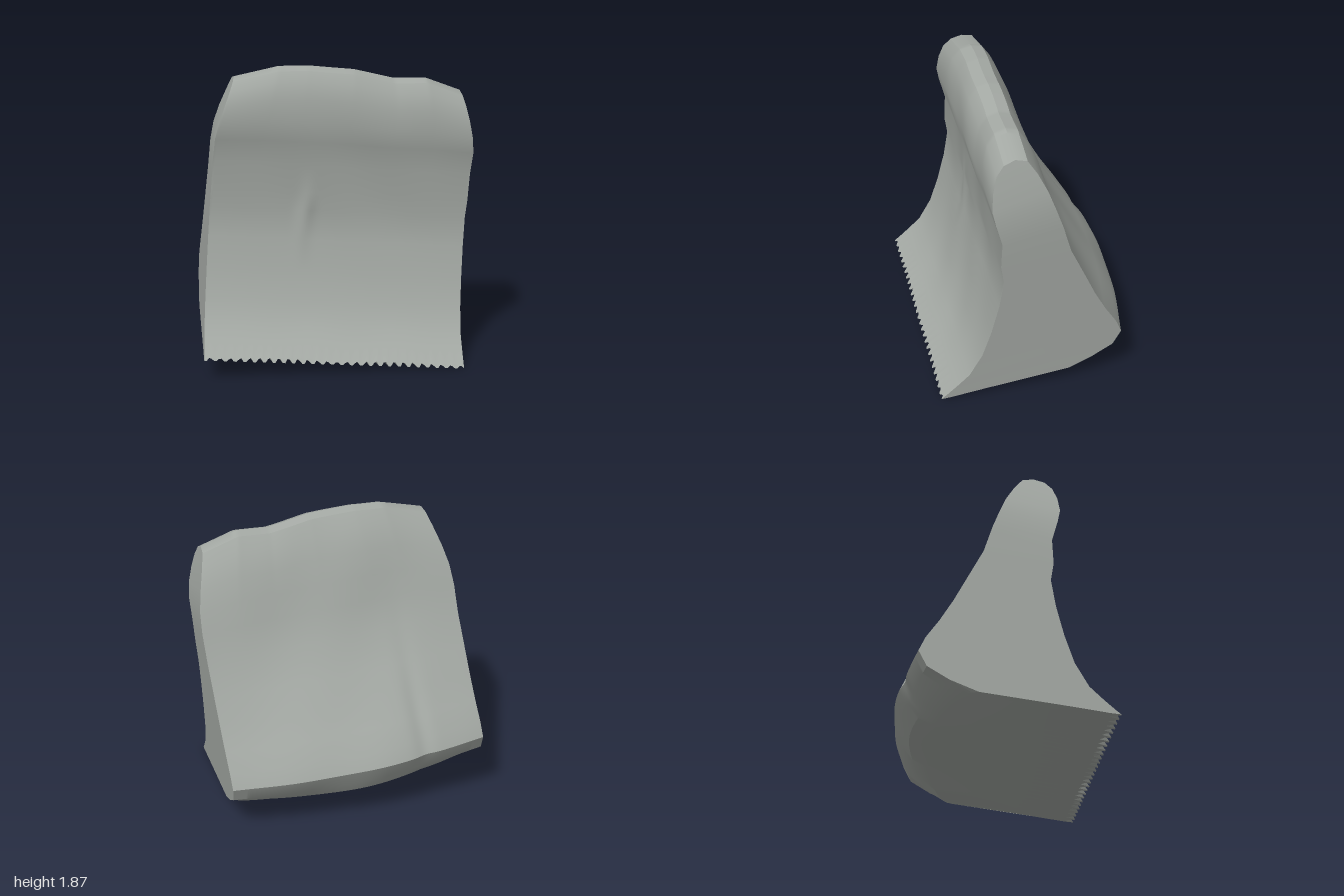
import * as THREE from 'three';
import { toCreasedNormals } from 'three/addons/utils/BufferGeometryUtils.js';

// Slab frame: along its length, up and to its front
const ORIGIN = new THREE.Vector3(-0.08, 0.13, 0.99);
const ALONG = new THREE.Vector3(0.637, -0.08, -0.766).normalize();
const FRONT = new THREE.Vector3(0.769, 0, 0.639).normalize();
const UP = new THREE.Vector3().crossVectors(FRONT, ALONG);
const LENGTH = 1.63, STEPS = 108;

// Cross-section: [distance back, height], front foot up, over the top, down the back
const PROFILE = [
  [0, 0], [0.03, 0.025], [0.1, 0.09], [0.18, 0.17], [0.26, 0.32], [0.315, 0.5], [0.36, 0.7], [0.385, 0.88],
  [0.365, 1.0], [0.37, 1.17], [0.33, 1.32], [0.31, 1.43], [0.32, 1.56], [0.345, 1.66],
  [0.39, 1.72], [0.46, 1.745], [0.53, 1.73], [0.585, 1.65], [0.645, 1.52], [0.69, 1.38],
  [0.735, 1.24], [0.79, 1.06], [0.89, 0.86], [0.97, 0.7], [1.05, 0.56], [1.13, 0.44],
  [1.17, 0.35], [1.12, 0.25], [0.99, 0.17], [0.82, 0.1], [0.4, 0.05], [0.06, 0.005],
];
const BACK_START = 17, BOTTOM_START = 29;

// Height of the ridge along the length
const RIDGE = [[0, 1.69], [0.19, 1.77], [0.32, 1.785], [0.52, 1.78], [0.7, 1.74], [0.84, 1.755], [1, 1.69]];
function ridge(t) {
  let k = 0;
  while (k < RIDGE.length - 2 && t > RIDGE[k + 1][0]) k++;
  const [a, ha] = RIDGE[k], [b, hb] = RIDGE[k + 1];
  return THREE.MathUtils.mapLinear(t, a, b, ha, hb);
}
const bump = (x, y, rx, ry) => Math.exp(-((x / rx) ** 2) - (y / ry) ** 2);

function slabPoint(t, i, j) {
  let [b, h] = PROFILE[j];
  // Rounded upper corners at both ends
  const inset = 0.1 * Math.pow(Math.max(0, (h - 1.28) / 0.46), 1.5);
  const s = THREE.MathUtils.lerp(inset, LENGTH - inset, t);
  const arch = Math.sin(Math.PI * t);
  if (j >= BACK_START && j < BOTTOM_START) {
    // Back swollen near its foot, with a shallow groove
    const low = 1 - THREE.MathUtils.smoothstep(h, 0.35, 1.2);
    b += (0.1 * arch - 0.02 * t) * low;
    b += 0.005 * arch * Math.sin(9 * s + 6 * h) - 0.018 * bump(s - 0.4, h - 0.55, 0.06, 0.35);
    if (j === BOTTOM_START - 1) b += 0.08 * arch;
  } else if (j === BOTTOM_START) {
    b += 0.22 * Math.pow(Math.max(0, arch), 0.5);
    h += 0.03 * arch;
  } else if (j > 2 && j < BACK_START) {
    // Uneven front with a small knob
    b += 0.004 * Math.sin(11 * s + 9 * h) * arch - 0.025 * bump(s - 0.6, h - 0.87, 0.05, 0.06);
  }
  // Serrated front foot
  if (j === 0 && i % 4 > 1) {
    const notch = 0.016 + 0.006 * Math.sin(i * 1.7);
    b += notch;
    h += notch;
  }
  h += (ridge(t) - 1.745) * THREE.MathUtils.smoothstep(h, 1.2, 1.7);
  return ORIGIN.clone().addScaledVector(ALONG, s).addScaledVector(FRONT, -b).addScaledVector(UP, h);
}

function slabGeometry() {
  const n = PROFILE.length, pos = [], index = [];
  for (let i = 0; i <= STEPS; i++) {
    for (let j = 0; j < n; j++) {
      pos.push(...slabPoint(i / STEPS, i, j).toArray());
      if (i < STEPS) {
        const a = i * n + j, d = i * n + ((j + 1) % n);
        index.push(a, a + n, d + n, a, d + n, d);
      }
    }
  }
  // End faces: level strips from front to back, then the slivers under the foot
  for (const end of [0, STEPS]) {
    const tri = (a, b, c) => {
      const o = end * n;
      if (end) index.push(o + a, o + b, o + c);
      else index.push(o + a, o + c, o + b);
    };
    for (let f = 0; f < 14; f++) {
      const k = BOTTOM_START - f;
      tri(f, k, k - 1);
      tri(f, k - 1, f + 1);
    }
    for (let k = BOTTOM_START; k < n - 1; k++) tri(0, k + 1, k);
  }
  const geo = new THREE.BufferGeometry();
  geo.setAttribute('position', new THREE.Float32BufferAttribute(pos, 3));
  geo.setIndex(index);
  return toCreasedNormals(geo, 0.5);
}

export function createModel() {
  const stone = new THREE.MeshStandardMaterial({ color: 0xa3a8a3 });
  stone.name = 'stone grey';
  const group = new THREE.Group();
  group.name = 'stoneFragment';
  const slab = new THREE.Mesh(slabGeometry(), stone);
  slab.name = 'curvedSlab';
  group.add(slab);
  return group;
}
